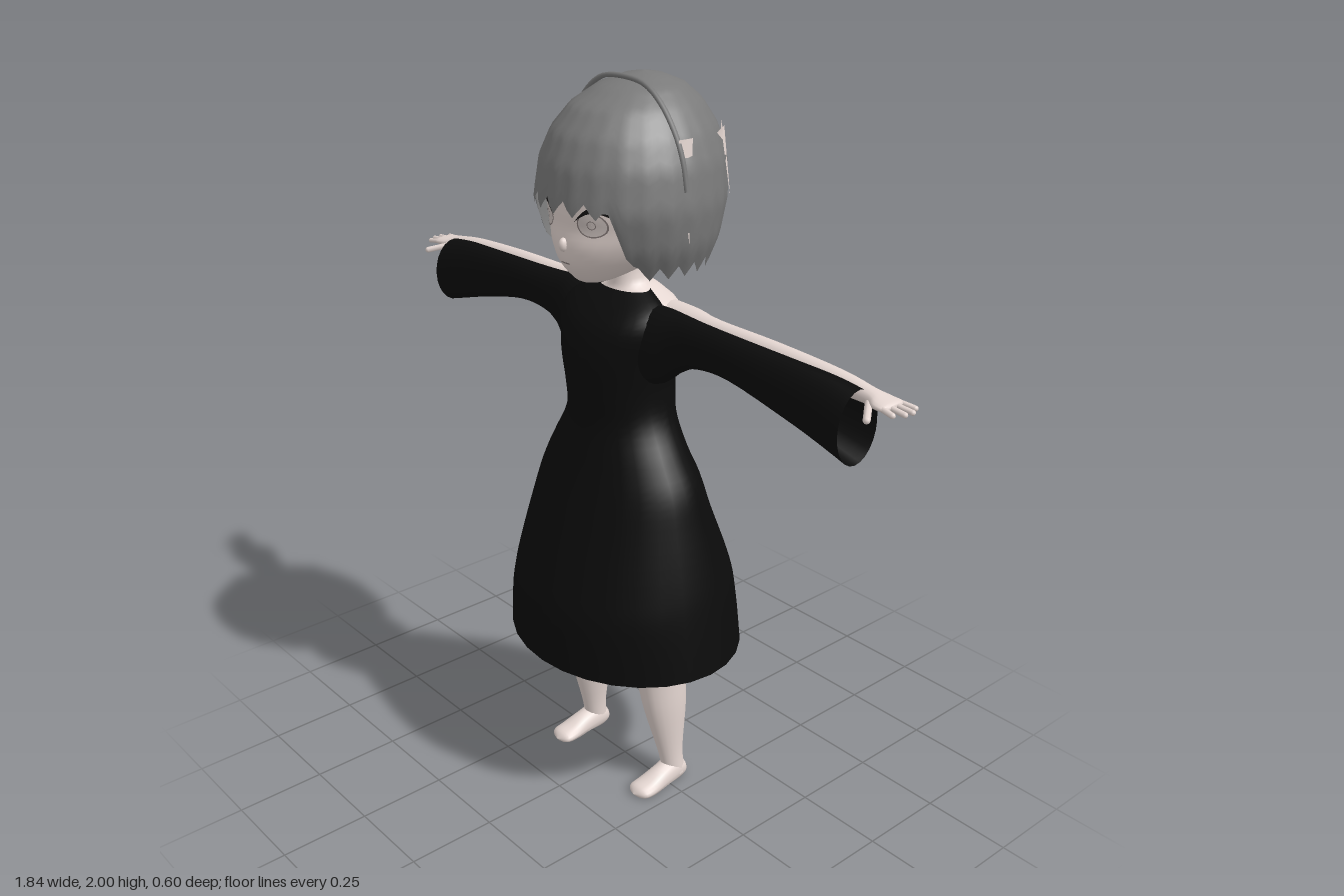
import * as THREE from 'three';

const mat = (name, color, side = THREE.FrontSide) => new THREE.MeshStandardMaterial({ name, color, side });

// Quad grid; columns wrap round when closed. Rows run along the axis, columns counter-clockwise.
function grid(rows, cols, point, closed = true) {
  const pos = [], index = [];
  for (let i = 0; i < rows; i++) for (let j = 0; j < cols; j++) pos.push(...point(i, j));
  for (let i = 0; i < rows - 1; i++) {
    for (let j = 0; j < (closed ? cols : cols - 1); j++) {
      const k = (j + 1) % cols;
      const a = i * cols + j, b = i * cols + k, c = b + cols, d = a + cols;
      index.push(a, b, c, a, c, d);
    }
  }
  const g = new THREE.BufferGeometry();
  g.setAttribute('position', new THREE.Float32BufferAttribute(pos, 3));
  g.setIndex(index);
  g.computeVertexNormals();
  return g;
}

// Catmull-Rom subdivision of section rows
function smooth(rows, sub = 4) {
  const out = [], last = rows.length - 1;
  for (let i = 0; i < last; i++) {
    const p = [rows[Math.max(0, i - 1)], rows[i], rows[i + 1], rows[Math.min(last, i + 2)]];
    for (let k = 0; k < sub; k++) {
      const t = k / sub;
      out.push(p[1].map((v, n) => 0.5 * (2 * v + (p[2][n] - p[0][n]) * t
        + (2 * p[0][n] - 5 * v + 4 * p[2][n] - p[3][n]) * t * t
        + (3 * v - p[0][n] - 3 * p[2][n] + p[3][n]) * t * t * t)));
    }
  }
  out.push(rows[last]);
  return out;
}

// Linear look-up of a section by its first value
function at(rows, p) {
  let i = 0;
  while (i < rows.length - 2 && rows[i + 1][0] < p) i++;
  const t = THREE.MathUtils.clamp((p - rows[i][0]) / (rows[i + 1][0] - rows[i][0]), 0, 1);
  return rows[i].map((v, n) => v + (rows[i + 1][n] - v) * t);
}

// Elliptical loft: row = [position, centreU, centreV, radiusU, radiusV], (u, v) follow the axis cyclically
function loft(axis, rows, n = 24) {
  const s = smooth(rows), ax = 'xyz'.indexOf(axis);
  return grid(s.length, n, (i, j) => {
    const a = j / n * Math.PI * 2, r = s[i], q = [0, 0, 0];
    q[ax] = r[0];
    q[(ax + 1) % 3] = r[1] + Math.max(0, r[3]) * Math.cos(a);
    q[(ax + 2) % 3] = r[2] + Math.max(0, r[4]) * Math.sin(a);
    q[1] = Math.max(0, q[1]);
    return q;
  });
}

// Upright body section from height, half width, front z and back z
const sec = (y, rx, zf, zb) => [y, (zf + zb) / 2, 0, (zf - zb) / 2, rx];

// Rounded finger between two points
function finger(a, b, r) {
  const A = new THREE.Vector3(...a), B = new THREE.Vector3(...b), d = B.clone().sub(A);
  const g = new THREE.CapsuleGeometry(r, d.length(), 4, 8);
  g.applyQuaternion(new THREE.Quaternion().setFromUnitVectors(new THREE.Vector3(0, 1, 0), d.normalize()));
  return g.translate(...A.add(B).multiplyScalar(0.5).toArray());
}

function mirrored(g) {
  const m = g.clone().scale(-1, 1, 1), ix = m.index.array;
  for (let i = 0; i < ix.length; i += 3) [ix[i], ix[i + 1]] = [ix[i + 1], ix[i]];
  return m;
}

export function createModel() {
  const group = new THREE.Group();
  const skin = mat('skin', 0xe4d6d1);
  const cloth = mat('black cloth', 0x0b0b0b, THREE.DoubleSide);
  const hairMat = mat('grey hair', 0x7a7a7a, THREE.DoubleSide);
  const lashMat = mat('lash black', 0x141212);
  const irisMat = mat('pale iris', 0xcfc4c0);
  const lineMat = mat('eye line', 0x857a78);

  const add = (name, g, m) => {
    const mesh = new THREE.Mesh(g, m);
    mesh.name = name;
    group.add(mesh);
  };
  const pair = (name, g, m) => {
    add(name + 'Left', g, m);
    add(name + 'Right', mirrored(g), m);
  };

  // Dress body, open at the hem
  add('dress', loft('y', [
    sec(0.45, 0.355, 0.30, -0.30), sec(0.6, 0.335, 0.30, -0.29), sec(0.7, 0.318, 0.275, -0.262),
    sec(0.85, 0.283, 0.225, -0.2), sec(0.95, 0.257, 0.19, -0.165), sec(1.03, 0.215, 0.165, -0.135),
    sec(1.12, 0.165, 0.145, -0.12), sec(1.2, 0.152, 0.155, -0.125), sec(1.3, 0.16, 0.165, -0.115),
    sec(1.38, 0.175, 0.145, -0.08), sec(1.43, 0.16, 0.1, -0.05), sec(1.465, 0.085, 0.05, -0.045),
  ], 28), cloth);

  // Flared sleeves, open at the wrist
  pair('sleeve', loft('x', [
    [0.10, 1.33, 0.01, 0.11, 0.085], [0.17, 1.345, 0.012, 0.1, 0.07], [0.23, 1.367, 0.012, 0.077, 0.05],
    [0.30, 1.381, 0.014, 0.06, 0.042], [0.42, 1.381, 0.015, 0.057, 0.04], [0.6, 1.355, 0.005, 0.074, 0.048],
    [0.7, 1.337, -0.003, 0.085, 0.057], [0.79, 1.318, -0.008, 0.093, 0.068],
  ]), cloth);

  // Upper body with bare back and neck
  add('torso', loft('y', [
    sec(1.18, 0.07, 0.06, -0.1), sec(1.25, 0.09, 0.08, -0.134), sec(1.3, 0.11, 0.1, -0.147),
    sec(1.36, 0.15, 0.1, -0.15), sec(1.42, 0.14, 0.07, -0.13), sec(1.455, 0.085, 0.045, -0.1),
    sec(1.49, 0.045, 0.035, -0.07), sec(1.6, 0.045, 0.035, -0.07),
  ]), skin);

  // Arms lie slightly behind the sleeves
  pair('arm', loft('x', [
    [0.08, 1.38, -0.06, 0.055, 0.065], [0.2, 1.4, -0.05, 0.04, 0.045], [0.3, 1.4, -0.041, 0.036, 0.033],
    [0.5, 1.4, -0.04, 0.034, 0.031], [0.7, 1.397, -0.04, 0.027, 0.029], [0.8, 1.392, -0.035, 0.02, 0.025],
    [0.84, 1.39, -0.03, 0.015, 0.038], [0.87, 1.389, -0.03, 0.01, 0.036], [0.875, 1.389, -0.03, 0, 0],
  ], 16), skin);
  for (let f = 0; f < 4; f++) {
    const z = -0.058 + f * 0.019, end = [0.9, 0.912, 0.91, 0.895][f];
    pair('finger', finger([0.85, 1.391, z], [end, 1.385, z * 1.25 + 0.006], 0.007), skin);
  }
  pair('thumb', finger([0.815, 1.386, -0.01], [0.855, 1.372, 0.042], 0.009), skin);

  // Legs and feet
  pair('leg', loft('y', [
    [0.02, -0.035, 0.176, 0.035, 0.03], [0.1, -0.024, 0.172, 0.04, 0.031], [0.25, -0.01, 0.163, 0.068, 0.049],
    [0.36, 0, 0.153, 0.078, 0.06], [0.45, 0.01, 0.143, 0.088, 0.073], [0.65, 0.02, 0.115, 0.1, 0.09],
    [0.9, 0.01, 0.09, 0.1, 0.09], [0.95, 0.01, 0.09, 0, 0],
  ], 20), skin);
  pair('foot', loft('z', [
    [-0.076, 0.175, 0.02, 0, 0], [-0.068, 0.175, 0.022, 0.022, 0.024], [-0.03, 0.175, 0.028, 0.032, 0.042],
    [0.02, 0.177, 0.02, 0.034, 0.038], [0.07, 0.178, 0.012, 0.039, 0.025], [0.105, 0.177, 0.01, 0.034, 0.016],
    [0.12, 0.176, 0.008, 0, 0],
  ], 16), skin);

  // Head
  const headRows = [
    sec(1.495, 0, 0.11, 0.11), sec(1.505, 0.045, 0.15, 0.03), sec(1.55, 0.108, 0.188, -0.09),
    sec(1.6, 0.15, 0.2, -0.15), sec(1.65, 0.18, 0.194, -0.19), sec(1.7, 0.195, 0.195, -0.21),
    sec(1.8, 0.195, 0.185, -0.23), sec(1.9, 0.13, 0.12, -0.18), sec(1.95, 0, -0.04, -0.04),
  ];
  add('head', loft('y', headRows, 32), skin);
  const nose = new THREE.SphereGeometry(1, 10, 8).scale(0.012, 0.018, 0.014).translate(0, 1.607, 0.199);
  add('nose', nose, skin);

  // Painted face details laid onto the face surface
  const headFine = smooth(headRows);
  const onFace = (g, x0, y0, off) => {
    g.translate(x0, y0, 0);
    const p = g.attributes.position;
    for (let i = 0; i < p.count; i++) {
      const r = at(headFine, p.getY(i)), k = p.getX(i) / r[4];
      p.setZ(i, r[1] + r[3] * Math.sqrt(Math.max(0, 1 - k * k)) + off);
    }
    g.computeVertexNormals();
    return g;
  };
  pair('iris', onFace(new THREE.RingGeometry(0.001, 0.03, 24, 3).scale(1.2, 1, 1), 0.083, 1.668, 0.003), irisMat);
  pair('irisRim', onFace(new THREE.RingGeometry(0.028, 0.031, 24).scale(1.2, 1, 1), 0.083, 1.668, 0.005), lineMat);
  pair('pupilRim', onFace(new THREE.RingGeometry(0.009, 0.011, 16), 0.083, 1.668, 0.005), lineMat);
  const lash = grid(2, 13, (i, j) => {
    const t = j / 12, arch = Math.sin(t * Math.PI);
    return [0.04 + t * 0.1, 1.672 + arch * (i ? 0.036 : 0.022) + t * 0.01, 0];
  }, false);
  pair('eyelash', onFace(lash, 0, 0, 0.007), lashMat);
  add('mouth', onFace(new THREE.PlaneGeometry(0.032, 0.004, 6, 1), 0, 1.56, 0.003), lineMat);

  // Bobbed hair with fringe and a toothed lower edge
  const hairRows = [
    sec(1.52, 0.185, 0.15, -0.22), sec(1.6, 0.225, 0.2, -0.245), sec(1.7, 0.24, 0.232, -0.268),
    sec(1.8, 0.225, 0.218, -0.27), sec(1.87, 0.195, 0.188, -0.25), sec(1.93, 0.152, 0.135, -0.212),
    sec(1.97, 0.105, 0.06, -0.165), sec(1.992, 0.05, -0.01, -0.11), sec(2.0, 0, -0.06, -0.06),
  ];
  const onHair = (a, y, k = 1) => {
    const r = at(hairRows, y);
    return [r[4] * k * Math.sin(a), y, r[1] + r[3] * k * Math.cos(a)];
  };
  const cols = 96, rows = 28;
  add('hair', grid(rows, cols, (i, j) => {
    const a = j / cols * Math.PI * 2, d = Math.min(a, Math.PI * 2 - a);
    const tooth = [0, 0.5, 1, 0.5][j % 4];
    const side = THREE.MathUtils.smoothstep(d, 0.58, 0.95);
    const hem = THREE.MathUtils.lerp(1.69, 1.523, side) + tooth * 0.035;
    const s = i / (rows - 1), y = 2 - (2 - hem) * (1 - s) ** 1.8;
    return onHair(a, y, 1 - 0.015 * tooth * (1 - s));
  }), hairMat);

  // Raised seam over the crown
  const seam = [1.75, 1.82, 1.87, 1.93, 1.97, 1.988];
  const half = seam.map((y) => new THREE.Vector3(at(hairRows, y)[4], y, 0.005));
  const arc = [...half, ...half.slice().reverse().map((v) => new THREE.Vector3(-v.x, v.y, v.z))];
  add('crownSeam', new THREE.TubeGeometry(new THREE.CatmullRomCurve3(arc), 40, 0.007, 6), hairMat);

  // Pale patches showing through the sides and back of the hair
  const patch = (edge) => grid(2, edge.length, (i, j) => (
    i ? onHair(edge[j][0], 1.87, 1.07) : onHair(edge[j][0], edge[j][1], 1.025)), false);
  pair('sidePatch', patch([[1.4, 1.85], [1.5, 1.62], [1.58, 1.86]]), skin);
  pair('backPatch', patch([
    [2.1, 1.862], [2.22, 1.84], [2.3, 1.7], [2.36, 1.85], [2.62, 1.855],
    [2.68, 1.74], [2.76, 1.84], [2.95, 1.85], [Math.PI, 1.853],
  ]), skin);

  return group;
}
